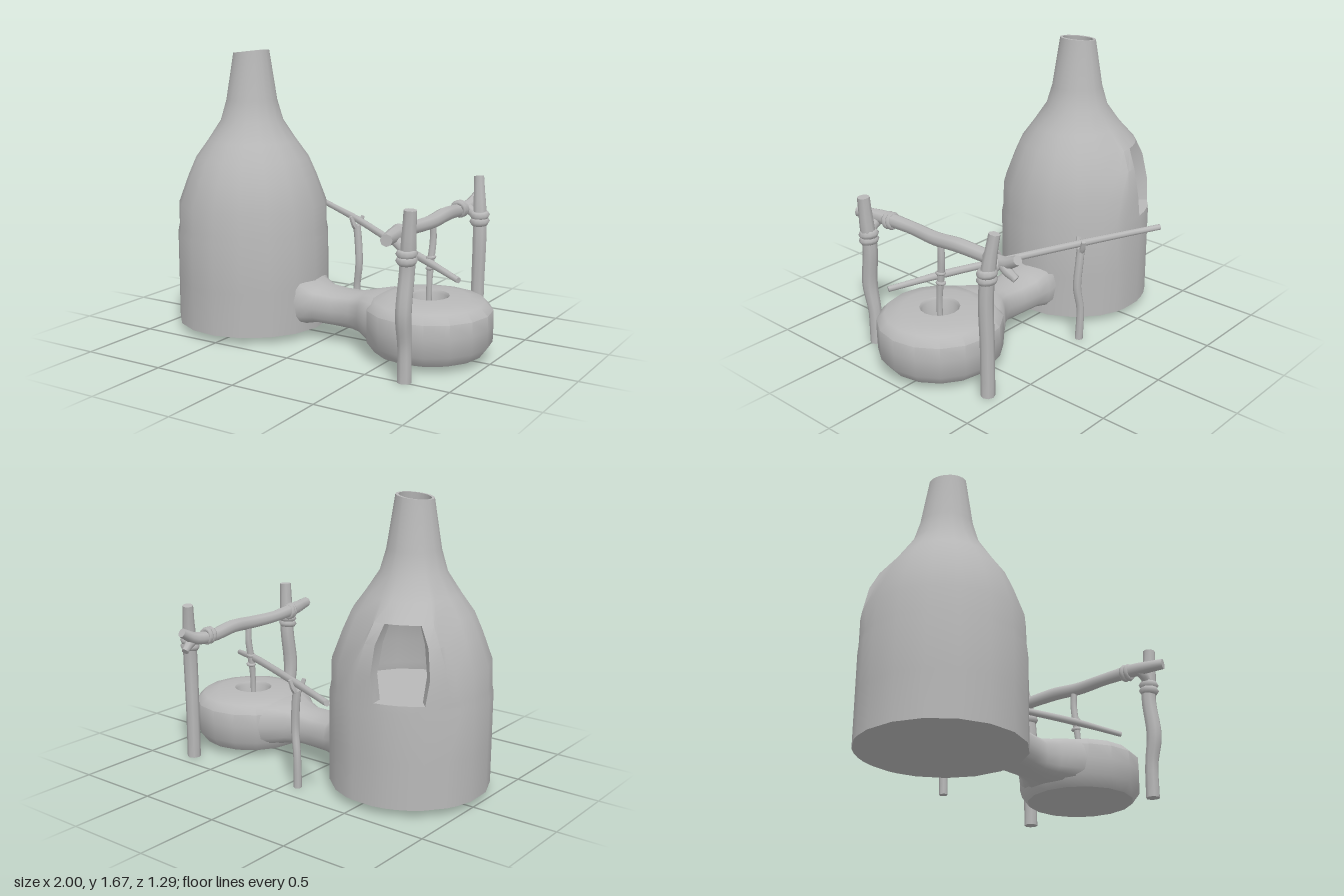
import * as THREE from 'three';
import { toCreasedNormals } from 'three/addons/utils/BufferGeometryUtils.js';

const clay = new THREE.MeshStandardMaterial({ color: 0xb8b8b8 });
clay.name = 'plain grey';

function add(parent, name, geometry) {
  const mesh = new THREE.Mesh(geometry, clay);
  mesh.name = name;
  parent.add(mesh);
  return mesh;
}

function fromTriangles(list, crease) {
  const g = new THREE.BufferGeometry();
  g.setAttribute('position', new THREE.Float32BufferAttribute(list.flat(), 3));
  return toCreasedNormals(g, crease);
}

// Wooden limb: closed tube through points [x, y, z, radius]
function limb(parent, name, points, sides = 8) {
  const curve = new THREE.CatmullRomCurve3(points.map(p => new THREE.Vector3(p[0], p[1], p[2])));
  const n = points.length * 4;
  const tube = new THREE.TubeGeometry(curve, n, 1, sides);
  const pos = tube.attributes.position;
  const v = new THREE.Vector3();
  for (let i = 0; i <= n; i++) {
    const t = curve.getUtoTmapping(i / n) * (points.length - 1);
    const k = Math.min(Math.floor(t), points.length - 2);
    const radius = THREE.MathUtils.lerp(points[k][3], points[k + 1][3], t - k);
    const centre = curve.getPointAt(i / n);
    // The last two rings at each end form a flat cap
    const target = i <= 1 ? curve.getPointAt(0) : i >= n - 1 ? curve.getPointAt(1) : centre;
    const r = i === 0 || i === n ? 0 : radius;
    for (let j = 0; j <= sides; j++) {
      const q = i * (sides + 1) + j;
      v.fromBufferAttribute(pos, q).sub(centre).multiplyScalar(r).add(target);
      pos.setXYZ(q, v.x, v.y, v.z);
    }
  }
  tube.deleteAttribute('uv');
  return add(parent, name, toCreasedNormals(tube, 0.9));
}

// Rope ring around a limb
function ring(parent, at, radius, thick, rotation) {
  const mesh = add(parent, 'lashing', new THREE.TorusGeometry(radius, thick, 6, 12));
  mesh.position.set(...at);
  mesh.rotation.set(...rotation);
}

// Furnace: hollow bottle-shaped shell with a hooded door at the back
function furnaceGeometry() {
  const cx = -0.55, cz = 0.045, doorAngle = Math.PI + 0.45;
  // [height, radius, radius at hood, door width factor, hood width factor]
  const rows = [
    [0.04, 0.456, 0.456, 0.9, 1.2], [0.3, 0.456, 0.456, 0.9, 1.2], [0.575, 0.456, 0.456, 0.9, 1.25],
    [0.62, 0.447, 0.452, 0.9, 1.25], [0.76, 0.444, 0.45, 1.05, 1.15], [0.92, 0.385, 0.415, 1.02, 1],
    [1.03, 0.337, 0.362, 0.8, 0.9], [1.13, 0.265, 0.272, 0.9, 1], [1.25, 0.186, 0.186, 1, 1],
    [1.37, 0.151, 0.151, 1, 1], [1.655, 0.106, 0.106, 1, 1],
  ];
  const doorRows = [3, 6], half = [0, 0.17, 0.34, 0.5, 0.6];
  const last = rows.length - 1;
  for (let k = 1; k <= 7; k++) half.push(0.6 + (Math.PI - 0.6) * k / 7);
  const H = half.length - 1;
  const point = (row, i, inner) => {
    const [y, r, hood, door, frame] = rows[row], a = Math.abs(i);
    const angle = doorAngle + Math.sign(i) * half[a] * (a <= 2 ? door : a <= 4 ? frame : 1);
    let radius = a <= 3 ? hood : r;
    if (inner) radius = r * 0.85;
    const lip = row === last ? 0.012 * Math.sin(angle) : 0;
    return [cx + radius * Math.sin(angle), y + lip, cz + radius * Math.cos(angle)];
  };
  const tris = [];
  const quad = (a, b, c, d) => tris.push(...a, ...b, ...c, ...a, ...c, ...d);
  for (let i = -H; i < H; i++) {
    for (let row = 0; row < last; row++) {
      if (i >= -2 && i < 2 && row >= doorRows[0] && row < doorRows[1]) continue;
      quad(point(row, i), point(row, i + 1), point(row + 1, i + 1), point(row + 1, i));
      if (row >= 2) quad(point(row, i + 1, 1), point(row, i, 1), point(row + 1, i, 1), point(row + 1, i + 1, 1));
    }
    // Rim, underside and chamber floor
    quad(point(last, i), point(last, i + 1), point(last, i + 1, 1), point(last, i, 1));
    tris.push(...point(0, i + 1), ...point(0, i), cx, 0.04, cz);
    tris.push(...point(2, i, 1), ...point(2, i + 1, 1), cx, rows[2][0], cz);
  }
  // Door reveal: sill, lintel and jambs
  const [lo, hi] = doorRows;
  for (let i = -2; i < 2; i++) {
    quad(point(lo, i), point(lo, i + 1), point(lo, i + 1, 1), point(lo, i, 1));
    quad(point(hi, i + 1), point(hi, i), point(hi, i, 1), point(hi, i + 1, 1));
  }
  for (let row = lo; row < hi; row++) {
    quad(point(row, -2), point(row, -2, 1), point(row + 1, -2, 1), point(row + 1, -2));
    quad(point(row, 2, 1), point(row, 2), point(row + 1, 2), point(row + 1, 2, 1));
  }
  return fromTriangles(tris, 0.7);
}

// Neck: loft of rounded sections [x, centre height, half height, half depth]
function neckGeometry() {
  const sections = [
    [-0.17, 0.265, 0.19, 0.21], [-0.11, 0.21, 0.13, 0.168], [-0.04, 0.2, 0.103, 0.15], [0.08, 0.195, 0.1, 0.135],
    [0.19, 0.195, 0.105, 0.12], [0.27, 0.2, 0.118, 0.155], [0.36, 0.2, 0.135, 0.235], [0.48, 0.19, 0.14, 0.28],
  ];
  const sides = 16, tris = [];
  const soft = c => Math.sign(c) * Math.pow(Math.abs(c), 0.65);
  const point = (s, j) => {
    const [x, y, hy, hz] = sections[s], a = j / sides * Math.PI * 2;
    return [x, y + hy * soft(Math.sin(a)), 0.045 + hz * soft(Math.cos(a))];
  };
  for (let s = 0; s < sections.length - 1; s++) {
    for (let j = 0; j < sides; j++) {
      const a = point(s, j), b = point(s + 1, j), c = point(s + 1, j + 1), d = point(s, j + 1);
      tris.push(...a, ...b, ...c, ...a, ...c, ...d);
    }
  }
  return fromTriangles(tris, 1.2);
}

export function createModel() {
  const model = new THREE.Group();
  model.name = 'furnace with bellows';

  add(model, 'furnace', furnaceGeometry());
  add(model, 'neck', neckGeometry());

  // Bellows bowl with a recessed hole in the top
  const profile = [
    [0, 0.018], [0.18, 0.024], [0.31, 0.04], [0.355, 0.1], [0.357, 0.2], [0.355, 0.28], [0.31, 0.325],
    [0.22, 0.345], [0.115, 0.35], [0.105, 0.335], [0.1, 0.15], [0, 0.14],
  ].map(p => new THREE.Vector2(...p));
  const bowl = add(model, 'bellows bowl', toCreasedNormals(new THREE.LatheGeometry(profile, 16), 0.8));
  bowl.position.set(0.645, 0, 0.045);

  // Frame posts and crossbeam
  const frame = new THREE.Group();
  frame.name = 'frame';
  model.add(frame);
  limb(frame, 'front post', [
    [0.735, 0, 0.49, 0.04], [0.735, 0.2, 0.495, 0.038], [0.74, 0.37, 0.52, 0.045],
    [0.745, 0.6, 0.495, 0.043], [0.755, 0.75, 0.5, 0.042], [0.765, 0.92, 0.505, 0.034]]);
  limb(frame, 'back post', [
    [0.735, 0, -0.4, 0.04], [0.735, 0.3, -0.4, 0.04], [0.74, 0.6, -0.4, 0.042],
    [0.73, 0.78, -0.415, 0.04], [0.71, 0.955, -0.437, 0.028]]);
  limb(frame, 'crossbeam', [
    [0.7, 0.78, 0.635, 0.03], [0.66, 0.775, 0.47, 0.042], [0.64, 0.765, 0.25, 0.037], [0.655, 0.765, 0.05, 0.04],
    [0.65, 0.775, -0.12, 0.042], [0.63, 0.76, -0.34, 0.038], [0.645, 0.77, -0.45, 0.038], [0.655, 0.82, -0.545, 0.022]]);
  limb(frame, 'beam fork', [[0.65, 0.77, -0.43, 0.03], [0.66, 0.74, -0.48, 0.028], [0.65, 0.705, -0.53, 0.02]]);

  // Rope lashings on posts and beam
  for (const [x, y, z] of [[0.745, 0.675, 0.5], [0.735, 0.715, -0.405]]) {
    for (const dy of [-0.018, 0.018]) ring(frame, [x, y + dy, z], 0.034, 0.025, [Math.PI / 2 + 0.12, 0, 0]);
    limb(frame, 'lashing tie', [[x + 0.02, y - 0.01, z, 0.022], [0.69, 0.745, z, 0.03], [0.645, 0.77, z - 0.02, 0.025]]);
  }
  for (const [x, z] of [[0.655, 0.425], [0.65, 0.4], [0.635, -0.335], [0.635, -0.365]]) {
    ring(frame, [x, 0.768, z], 0.037, 0.016, [0.12, 0, 0]);
  }

  // Pump rod hanging from the beam into the bowl
  limb(model, 'pump rod', [
    [0.65, 0.76, 0.02, 0.018], [0.65, 0.66, 0.015, 0.02], [0.645, 0.54, 0.03, 0.021],
    [0.645, 0.4, 0.045, 0.017], [0.645, 0.14, 0.045, 0.017]]);
  for (const y of [0.5, 0.56]) ring(model, [0.645, y, 0.03], 0.02, 0.01, [Math.PI / 2, 0.15, 0]);

  // Lever pole and its forked support
  limb(model, 'lever pole', [
    [-0.49, 0.655, -0.635, 0.017], [-0.08, 0.62, -0.39, 0.021], [0.3, 0.575, -0.15, 0.021],
    [0.62, 0.54, 0.04, 0.023], [0.89, 0.5, 0.19, 0.014]]);
  limb(model, 'lever support', [
    [-0.075, 0, -0.38, 0.024], [-0.075, 0.2, -0.385, 0.022], [-0.055, 0.34, -0.375, 0.024],
    [-0.065, 0.5, -0.38, 0.024], [-0.075, 0.58, -0.38, 0.024]]);
  for (const s of [-1, 1]) {
    limb(model, 'support prong', [
      [-0.075, 0.56, -0.38, 0.02], [-0.075 + s * 0.01, 0.59, -0.38 - s * 0.02, 0.017],
      [-0.075 + s * 0.022, 0.64, -0.38 - s * 0.035, 0.012]], 6);
  }
  return model;
}
